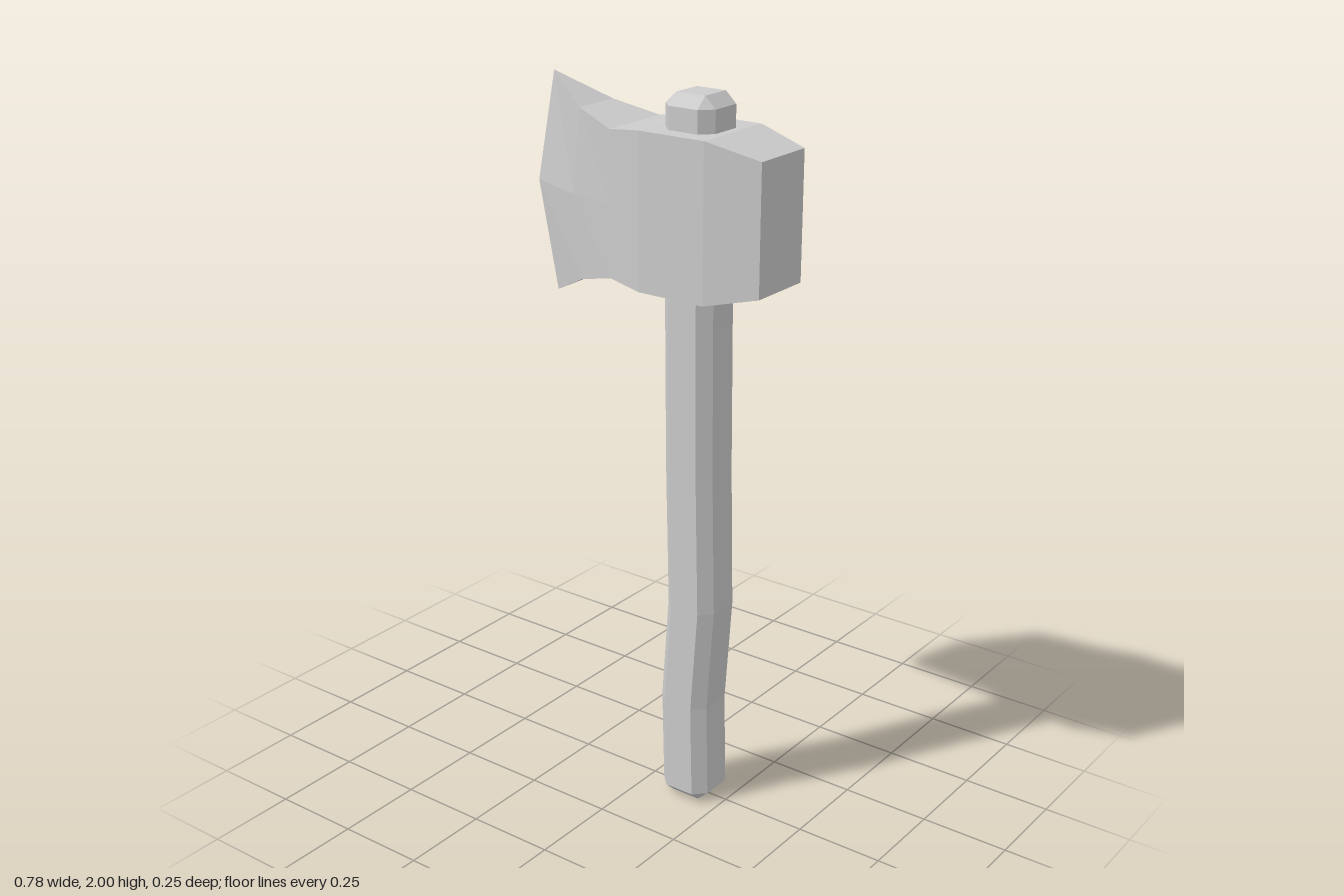
import * as THREE from 'three';

const material = new THREE.MeshStandardMaterial({ color: 0xcccccc, flatShading: true });

// Skins a list of equal-length rings of [x, y, z] points, with flat end caps
function loft(name, rings, capStart = true) {
  const n = rings[0].length;
  const index = [];
  for (let i = 0; i < rings.length - 1; i++) {
    for (let j = 0; j < n; j++) {
      const a = i * n + j, b = i * n + (j + 1) % n;
      index.push(a, a + n, b, b, a + n, b + n);
    }
  }
  const last = (rings.length - 1) * n;
  for (let j = 1; j < n - 1; j++) {
    if (capStart) index.push(0, j, j + 1);
    index.push(last, last + j + 1, last + j);
  }
  const indexed = new THREE.BufferGeometry();
  indexed.setAttribute('position', new THREE.Float32BufferAttribute(rings.flat(2), 3));
  indexed.setIndex(index);
  const geometry = indexed.toNonIndexed();
  geometry.computeVertexNormals();
  const mesh = new THREE.Mesh(geometry, material);
  mesh.name = name;
  return mesh;
}

// Square section with chamfered corners; flat = half length of each flat side
function handleRing([y, cx, half]) {
  const flat = 0.044;
  return [
    [half, -flat], [half, flat], [flat, half], [-flat, half],
    [-half, flat], [-half, -flat], [-flat, -half], [flat, -half],
  ].map(([x, z]) => [cx + x, y, z]);
}

// Six-point section of the head; the middle row may sit further out than the corners
function headRing([x, midX, top, bottom, z]) {
  const side = [[x, bottom], [midX, 1.7], [x, top]];
  return [
    ...side.map(([px, py]) => [px, py, z]),
    ...side.reverse().map(([px, py]) => [px, py, -z]),
  ];
}

export function createModel() {
  const group = new THREE.Group();
  group.name = 'axe';

  // Gently bent handle with bevelled ends: y, centre x, half width
  group.add(loft('handle', [
    [0, 0.141, 0.044],
    [0.03, 0.141, 0.076],
    [0.3, 0.134, 0.076],
    [0.6, 0.155, 0.076],
    [1.0, 0.145, 0.076],
    [1.4, 0.141, 0.076],
    [1.97, 0.141, 0.076],
    [2.0, 0.141, 0.044],
  ].map(handleRing)));

  // Head from cutting edge to poll: x, middle x, top, bottom, half thickness
  group.add(loft('axeHead', [
    [-0.33, -0.39, 2.0, 1.404, 0],
    [-0.19, -0.215, 1.93, 1.474, 0.07],
    [-0.065, -0.065, 1.897, 1.507, 0.106],
    [0.04, 0.04, 1.91, 1.494, 0.125],
    [0.24, 0.24, 1.91, 1.494, 0.125],
    [0.388, 0.388, 1.874, 1.53, 0.094],
  ].map(headRing), false));

  return group;
}
